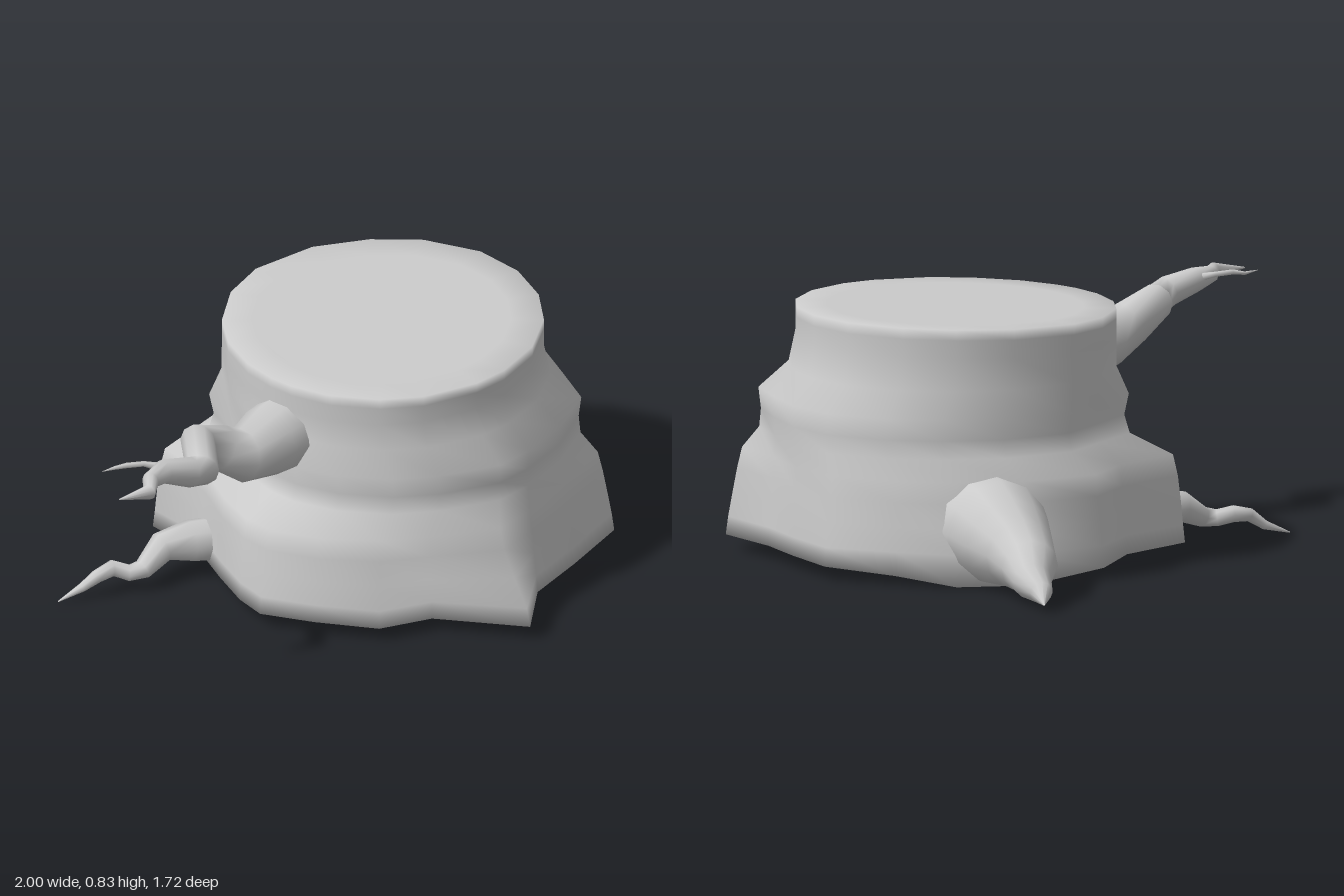
import * as THREE from 'three';

const CX = 0.37, CZ = 0.07, TOP_R = 0.522;
const material = new THREE.MeshStandardMaterial({ color: 0xcccccc, side: THREE.DoubleSide });

// Outline of the flared foot (x, z) and shoulder radius above it, counter-clockwise from above
const FOOT = [
  [0.16, 0.86, 0.66], [0.35, 0.735, 0.64], [0.57, 0.71, 0.65], [0.82, 0.67, 0.71], [0.87, 0.43, 0.6],
  [0.94, 0.25, 0.59], [1.0, 0.05, 0.6], [0.9, -0.17, 0.57], [0.81, -0.36, 0.56], [0.62, -0.5, 0.58],
  [0.35, -0.58, 0.62], [0.16, -0.5, 0.59], [-0.11, -0.5, 0.72], [-0.14, -0.28, 0.6], [-0.23, -0.12, 0.62],
  [-0.3, 0.02, 0.65], [-0.33, 0.13, 0.66], [-0.26, 0.3, 0.64], [-0.16, 0.49, 0.62], [0, 0.58, 0.61],
];

// Trunk rings: height, weight of the foot, weight of the shoulder, shift towards front left
const RINGS = [
  [0.06, 1, 0, 0], [0.12, 0.9, 0.08, 0], [0.2, 0.45, 0.55, 0], [0.28, 0.08, 0.92, 0],
  [0.35, 0, 0.93, 0], [0.42, 0, 0.42, 0.028], [0.48, 0, 0.36, 0.032], [0.55, 0, 0.42, 0.03],
  [0.64, 0, 0.06, 0.008], [0.74, 0, 0, 0], [0.8, 0, 0, 0], [0.835, 0, 0, 0],
];

// Closed rings of points joined into one smooth skin
function skin(rings) {
  const n = rings[0].length, index = [];
  for (let j = 0; j < rings.length - 1; j++) {
    for (let i = 0; i < n; i++) {
      const a = j * n + i, b = j * n + (i + 1) % n;
      index.push(a, b, a + n, b, b + n, a + n);
    }
  }
  const geometry = new THREE.BufferGeometry().setFromPoints(rings.flat());
  geometry.setIndex(index);
  geometry.computeVertexNormals();
  return geometry;
}

// Fan that closes a ring around a centre point
function fan(ring, centre, up) {
  const n = ring.length, index = [];
  for (let i = 0; i < n; i++) {
    const a = i + 1, b = (i + 1) % n + 1;
    index.push(0, up ? a : b, up ? b : a);
  }
  const geometry = new THREE.BufferGeometry().setFromPoints([centre, ...ring]);
  geometry.setIndex(index);
  geometry.computeVertexNormals();
  return geometry;
}

// Crooked tapering limb through knots [x, y, z, radius]
function limb(knots, sides = 10) {
  const points = knots.map(([x, y, z]) => new THREE.Vector3(x, y, z));
  const up = new THREE.Vector3(0, 1, 0);
  return skin(points.map((p, k) => {
    const before = points[Math.max(k - 1, 0)], after = points[Math.min(k + 1, points.length - 1)];
    const t = after.clone().sub(before).normalize();
    const u = up.clone().cross(t).normalize(), v = t.clone().cross(u);
    return Array.from({ length: sides }, (_, i) => {
      const a = i / sides * Math.PI * 2, r = knots[k][3];
      return p.clone().addScaledVector(u, r * Math.cos(a)).addScaledVector(v, r * Math.sin(a));
    });
  }));
}

export function createModel() {
  const group = new THREE.Group();
  const add = (name, geometry) => {
    const mesh = new THREE.Mesh(geometry, material);
    mesh.name = name;
    group.add(mesh);
  };

  // Trunk: round at the cut, wavy in the middle, with shoulders flaring into the foot
  const rings = RINGS.map(([y, footWeight, shoulderWeight, shift], j) => FOOT.map(([x, z, shoulder]) => {
    const d = Math.hypot(x - CX, z - CZ), dx = (x - CX) / d, dz = (z - CZ) / d;
    // The back left side is slightly flattened
    const round = TOP_R - 0.025 * Math.max(0, (dx - dz) * Math.SQRT1_2) ** 6;
    const r = round + footWeight * (d - round) + shoulderWeight * (shoulder - round);
    const px = CX + dx * r + shift, pz = CZ + dz * r + shift;
    // The foot sags under the big root, and the cut tilts a little
    const sag = j === 0 ? 0.05 * Math.exp(-((px - 0.7) ** 2 + (pz + 0.42) ** 2) / 0.1) : 0;
    const tilt = y > 0.7 ? 0.02 * (px - CX) : 0;
    return new THREE.Vector3(px, y - sag + tilt, pz);
  }));

  // The rims roll softly into the cut and the underside
  const bottomCentre = new THREE.Vector3(CX, 0.045, CZ), topCentre = new THREE.Vector3(CX, 0.833, CZ);
  const inset = (ring, centre) => ring.map((p) => p.clone().lerp(centre, 0.2));
  const bottomRim = inset(rings[0], bottomCentre);
  const topRim = inset(rings[rings.length - 1], topCentre);
  add('trunk', skin([bottomRim, ...rings, topRim]));
  add('cutTop', fan(topRim, topCentre, true));
  add('underside', fan(bottomRim, bottomCentre, false));

  // Side branch with a small twig
  add('branch', limb([
    [-0.05, 0.62, 0.06, 0.13], [-0.2, 0.625, 0.06, 0.118], [-0.34, 0.63, 0.06, 0.088], [-0.41, 0.68, 0.03, 0.075],
    [-0.5, 0.735, 0.01, 0.06], [-0.6, 0.71, 0.11, 0.055], [-0.67, 0.735, 0.115, 0.05], [-0.76, 0.765, 0.08, 0.04],
    [-0.84, 0.77, 0.09, 0.028], [-0.9, 0.77, 0.135, 0.025], [-1.0, 0.77, 0.09, 0.002],
  ]));
  add('twig', limb([
    [-0.76, 0.775, 0.06, 0.014], [-0.79, 0.785, 0.02, 0.009], [-0.84, 0.79, -0.01, 0.009],
    [-0.87, 0.785, -0.035, 0.006], [-0.92, 0.79, -0.045, 0.001],
  ], 6));

  // Big root at the back, widening where it leaves the trunk
  add('bigRoot', limb([
    [0.62, 0.2, -0.29, 0.19], [0.66, 0.185, -0.4, 0.175], [0.7, 0.165, -0.49, 0.15], [0.73, 0.145, -0.57, 0.118],
    [0.78, 0.12, -0.66, 0.094], [0.84, 0.09, -0.73, 0.064], [0.87, 0.065, -0.8, 0.038], [0.92, 0.04, -0.86, 0.004],
  ], 12));

  // Thin crooked root at the side
  add('smallRoot', limb([
    [-0.1, 0.12, -0.21, 0.075], [-0.2, 0.13, -0.27, 0.07], [-0.29, 0.13, -0.315, 0.05], [-0.38, 0.085, -0.32, 0.033],
    [-0.42, 0.08, -0.345, 0.028], [-0.45, 0.095, -0.39, 0.028], [-0.51, 0.085, -0.405, 0.022],
    [-0.55, 0.05, -0.435, 0.015], [-0.63, 0.02, -0.47, 0.002],
  ], 8));

  return group;
}
